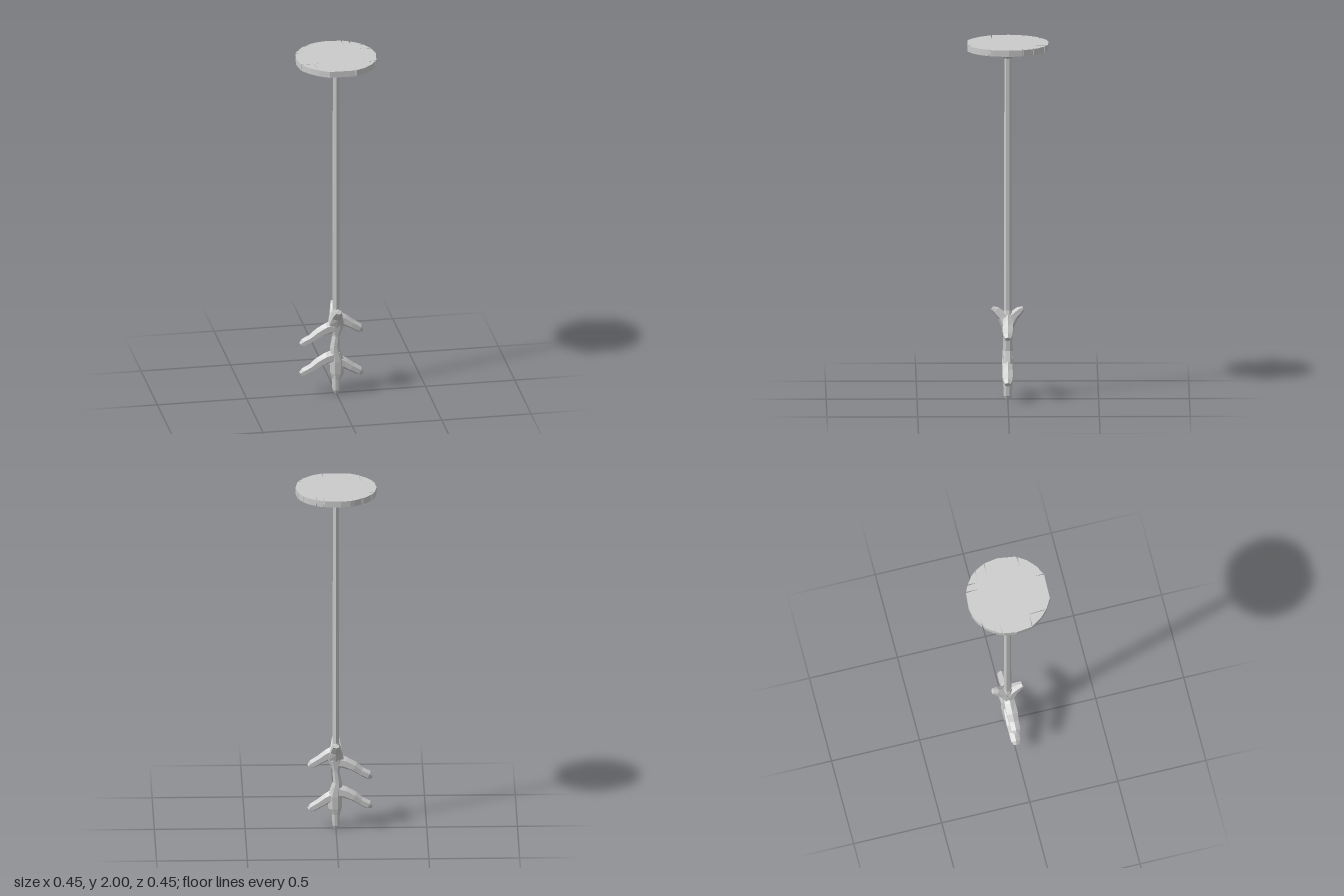
import * as THREE from 'three';

const mat = new THREE.MeshStandardMaterial({ color: 0xcccccc, flatShading: true, side: THREE.DoubleSide });

// Faceted limb: each station is [x, y, z, thickness, width]; width runs along the side axis.
function limb(name, stations, side, sides = 6) {
  const u = new THREE.Vector3(...side);
  const pts = stations.map(s => new THREE.Vector3(s[0], s[1], s[2]));
  const pos = [], idx = [];
  pts.forEach((p, i) => {
    const t = pts[Math.min(i + 1, pts.length - 1)].clone().sub(pts[Math.max(i - 1, 0)]).normalize();
    const v = t.cross(u).normalize();
    for (let j = 0; j < sides; j++) {
      const a = (j + 0.5) / sides * Math.PI * 2;
      const q = p.clone().addScaledVector(u, Math.cos(a) * stations[i][4]).addScaledVector(v, Math.sin(a) * stations[i][3]);
      pos.push(q.x, q.y, q.z);
    }
  });
  const last = (pts.length - 1) * sides, c0 = pos.length / 3;
  for (const p of [pts[0], pts[pts.length - 1]]) pos.push(p.x, p.y, p.z);
  for (let j = 0; j < sides; j++) {
    const k = (j + 1) % sides;
    for (let b = 0; b < last; b += sides) idx.push(b + j, b + k, b + sides + k, b + j, b + sides + k, b + sides + j);
    idx.push(c0, k, j, c0 + 1, last + j, last + k);
  }
  const g = new THREE.BufferGeometry();
  g.setAttribute('position', new THREE.Float32BufferAttribute(pos, 3));
  g.setIndex(idx);
  g.computeVertexNormals();
  return named(name, g);
}

function named(name, geometry) {
  const m = new THREE.Mesh(geometry, mat);
  m.name = name;
  return m;
}

export function createModel() {
  const group = new THREE.Group();
  group.name = 'rootedPoleTable';

  // Worn round top, (x, z) outline with narrow splits cut in from the rim
  const rim = [
    [-0.022, -0.226], [0.066, -0.219], [0.072, -0.15], [0.074, -0.217],
    [0.105, -0.203], [0.112, -0.145], [0.113, -0.198], [0.155, -0.168],
    [0.178, -0.142], [0.135, -0.14], [0.182, -0.137], [0.209, -0.084],
    [0.137, -0.083], [0.211, -0.079], [0.223, -0.005], [0.21, 0.085],
    [0.206, 0.1], [0.133, 0.108], [0.202, 0.107], [0.172, 0.152], [0.125, 0.195],
    [0.073, 0.221], [0.071, 0.17], [0.067, 0.224], [-0.075, 0.221], [-0.13, 0.188],
    [-0.17, 0.15], [-0.2, 0.107], [-0.209, 0.09], [-0.108, 0.09], [-0.213, 0.084],
    [-0.224, -0.005], [-0.212, -0.078], [-0.16, -0.083], [-0.21, -0.083],
    [-0.198, -0.112], [-0.17, -0.12], [-0.192, -0.119], [-0.16, -0.162],
    [-0.148, -0.17], [-0.105, -0.181], [-0.138, -0.181], [-0.1, -0.205], [-0.075, -0.216],
  ];
  const shape = new THREE.Shape(rim.map(([x, z]) => new THREE.Vector2(x, -z)));
  // Crack inside the edge
  shape.holes.push(new THREE.Path([[-0.139, -0.096], [-0.136, -0.096], [-0.131, -0.18], [-0.135, -0.175]]
    .map(p => new THREE.Vector2(...p))));
  const disc = new THREE.ExtrudeGeometry(shape, { depth: 0.035, bevelEnabled: false });
  disc.rotateX(-Math.PI / 2).translate(0, 1.965, 0);
  group.add(named('tableTop', disc));

  // Four-sided flare under the top, and the slim pole
  const flare = new THREE.CylinderGeometry(0.1, 0.02, 0.055, 4);
  flare.translate(0, 1.94, 0);
  group.add(named('flare', flare));
  const pole = new THREE.CylinderGeometry(0.019, 0.021, 1.49, 6);
  pole.translate(0, 1.205, 0);
  group.add(named('pole', pole));

  // Knotted main root
  group.add(limb('mainRoot', [
    [0, 0, 0, 0.012, 0.014], [0, 0.02, 0, 0.021, 0.024], [0, 0.085, 0, 0.023, 0.028],
    [0.005, 0.12, 0, 0.04, 0.033], [0.005, 0.19, 0, 0.042, 0.035], [-0.008, 0.27, 0, 0.026, 0.03],
    [0, 0.34, 0, 0.02, 0.028], [0, 0.4, 0, 0.045, 0.034], [0, 0.45, 0, 0.036, 0.034], [0, 0.5, 0, 0.02, 0.022],
  ], [0, 0, 1], 8));

  // Two tiers of drooping side roots
  ['upper', 'lower'].forEach((tier, i) => {
    const d = i ? -0.175 : 0, e = i ? -0.255 : 0;
    group.add(limb(tier + 'RightRoot', [
      [0.02, 0.4 + d, 0, 0.04, 0.03], [-0.05, 0.385 + d, 0, 0.034, 0.034], [-0.1, 0.362 + d, 0, 0.028, 0.036],
      [-0.135, 0.335 + d, 0, 0.024, 0.031], [-0.18, 0.311 + d, 0, 0.025, 0.029], [-0.2, 0.301 + d, 0, 0.013, 0.017],
    ], [0, 0, 1]));
    group.add(limb(tier + 'LeftRoot', [
      [0, 0.45 + e, 0, 0.038, 0.03], [0.045, 0.43 + e, 0, 0.032, 0.03], [0.085, 0.405 + e, 0, 0.026, 0.032],
      [0.13, 0.377 + e, 0, 0.025, 0.029], [0.148, 0.364 + e, 0, 0.014, 0.018],
    ], [0, 0, 1]));
  });

  // Short upturned stubs in front and behind
  for (const s of [1, -1]) {
    group.add(limb(s > 0 ? 'frontStub' : 'backStub', [
      [0, 0.41, 0.005 * s, 0.03, 0.05], [0, 0.465, 0.03 * s, 0.03, 0.034],
      [0, 0.498, 0.066 * s, 0.022, 0.024], [0, 0.51, 0.086 * s, 0.012, 0.017],
    ], [1, 0, 0]));
  }
  return group;
}
